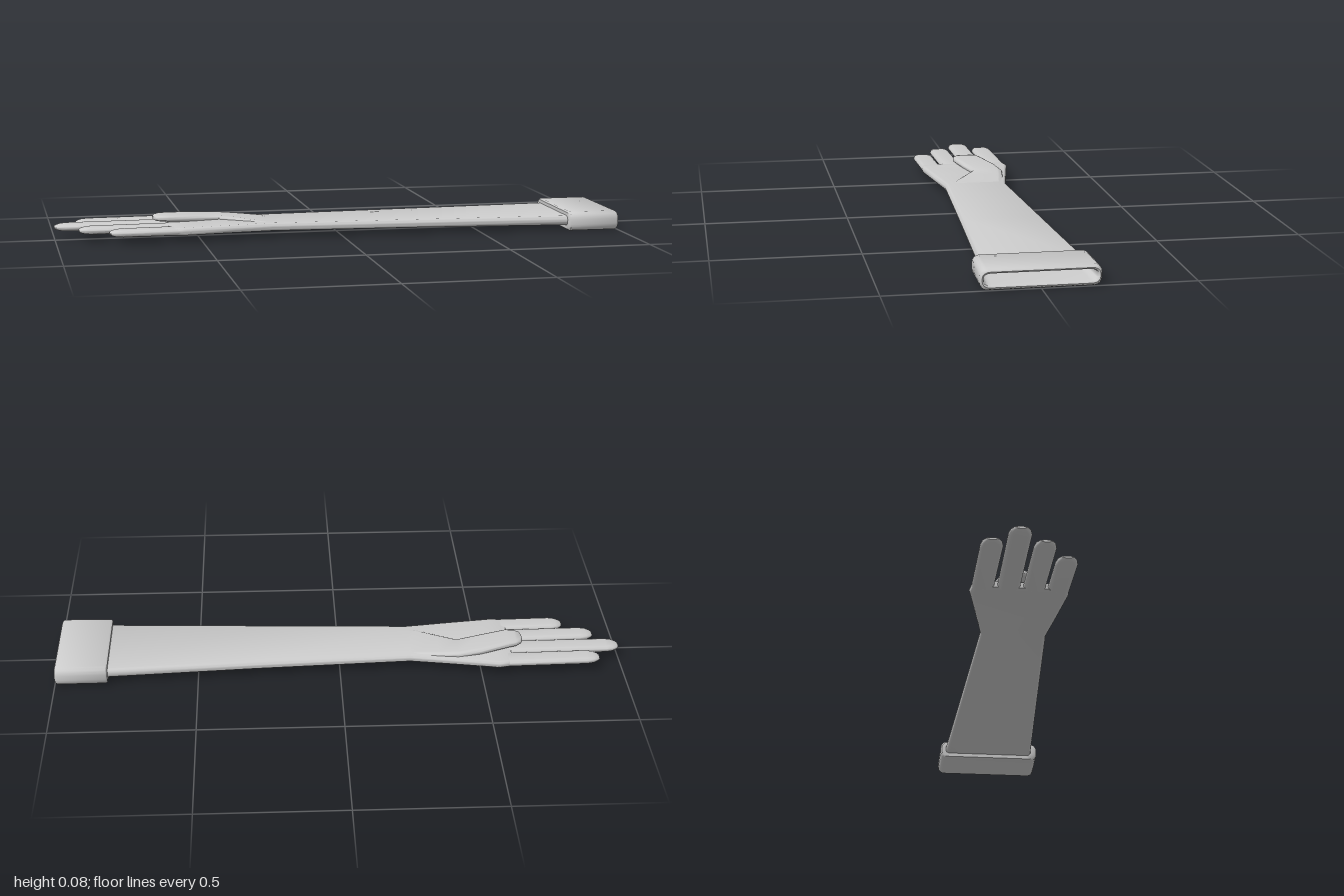
import * as THREE from 'three';
import { toCreasedNormals } from 'three/addons/utils/BufferGeometryUtils.js';

const material = new THREE.MeshStandardMaterial({ color: 0xcccccc, side: THREE.DoubleSide });
const STEPS = 4; // segments per rounded corner

// Rounded rectangle in the yz plane, counter-clockwise seen from +x
function ring([x, z0, z1, y0, y1], corner) {
  const ry = (y1 - y0) / 2 * corner[1];
  const rz = Math.min(corner[0], (z1 - z0) / 2);
  const points = [];
  for (let q = 0; q < 4; q++) {
    const cz = q === 0 || q === 3 ? z0 + rz : z1 - rz;
    const cy = q < 2 ? y1 - ry : y0 + ry;
    for (let s = 0; s <= STEPS; s++) {
      const a = (q + s / STEPS) * Math.PI / 2;
      points.push(x, cy + ry * Math.sin(a), cz - rz * Math.cos(a));
    }
  }
  return points;
}

// Skin over sections [x, z0, z1, y0, y1]; optional cap on the first one
function loft(name, sections, corner, cap = false) {
  const n = 4 * (STEPS + 1);
  const positions = sections.flatMap((s) => ring(s, corner));
  const index = [];
  for (let i = 0; i < sections.length - 1; i++) {
    for (let j = 0; j < n; j++) {
      const a = i * n + j, b = i * n + (j + 1) % n;
      index.push(a, b, a + n, b, b + n, a + n);
    }
  }
  if (cap) {
    const [x, z0, z1, y0, y1] = sections[0];
    const c = positions.length / 3;
    positions.push(x, (y0 + y1) / 2, (z0 + z1) / 2);
    for (let j = 0; j < n; j++) index.push(c, (j + 1) % n, j);
  }
  const geometry = new THREE.BufferGeometry();
  geometry.setAttribute('position', new THREE.Float32BufferAttribute(positions, 3));
  geometry.setIndex(index);
  const mesh = new THREE.Mesh(toCreasedNormals(geometry, 0.8), material);
  mesh.name = name;
  return mesh;
}

// Flat finger with a rounded tip, running from the tip to inside the palm
function finger(name, tip, tipZ, rootZ, width) {
  const root = -0.54, half = width / 2, mid = 0.0385;
  const sections = [[0, 0.42, 0.35], [0.008, 0.66, 0.65], [0.022, 0.87, 0.9], [0.045, 1, 1]].map(([d, w, h]) =>
    [tip + d, tipZ - half * w, tipZ + half * w, mid - 0.012 * h, mid + 0.012 * h]);
  sections.push([root, rootZ - half, rootZ + half, 0.026, 0.051]);
  return loft(name, sections, [0.016, 1], true);
}

export function createModel() {
  const glove = new THREE.Group();
  glove.name = 'longGlove';

  // Hollow sleeve narrowing to the wrist and widening into the palm
  glove.add(loft('sleeveAndPalm', [
    [-0.61, -0.165, 0.14, 0.029, 0.049],
    [-0.595, -0.174, 0.15, 0.026, 0.051],
    [-0.56, -0.179, 0.152, 0.025, 0.052],
    [-0.4, -0.147, 0.131, 0.025, 0.052],
    [-0.25, -0.118, 0.11, 0.024, 0.052],
    [0.3, -0.146, 0.138, 0.023, 0.052],
    [0.83, -0.174, 0.166, 0.018, 0.052],
  ], [0.014, 0.95], true));

  // Four fingers
  const fingers = new THREE.Group();
  fingers.name = 'fingers';
  [
    ['indexFinger', -0.92, -0.13, -0.138, 0.074],
    ['middleFinger', -1, -0.047, -0.052, 0.076],
    ['ringFinger', -0.92, 0.04, 0.032, 0.074],
    ['littleFinger', -0.82, 0.12, 0.113, 0.074],
  ].forEach((f) => fingers.add(finger(...f)));
  glove.add(fingers);

  // Thumb lying across the palm and sinking into it towards the wrist
  glove.add(loft('thumb', [
    [-0.655, -0.05, -0.005, 0.06, 0.07],
    [-0.648, -0.066, 0.012, 0.057, 0.074],
    [-0.63, -0.079, 0.022, 0.055, 0.076],
    [-0.6, -0.087, 0.026, 0.053, 0.076],
    [-0.5, -0.12, 0.001, 0.046, 0.07],
    [-0.42, -0.134, -0.02, 0.042, 0.065],
    [-0.35, -0.125, 0.026, 0.038, 0.06],
    [-0.28, -0.112, 0.076, 0.034, 0.054],
    [-0.22, -0.1, 0.09, 0.032, 0.049],
  ], [0.018, 0.95], true));

  // Thick open cuff: outer skin, rounded rim, then the inner lining
  glove.add(loft('cuff', [
    [0.816, -0.172, 0.166, 0.02, 0.05],
    [0.816, -0.188, 0.183, 0.004, 0.064],
    [0.822, -0.193, 0.189, 0, 0.068],
    [0.99, -0.194, 0.192, 0, 0.068],
    [0.997, -0.191, 0.189, 0.004, 0.064],
    [1, -0.187, 0.185, 0.009, 0.059],
    [0.997, -0.183, 0.181, 0.014, 0.054],
    [0.985, -0.18, 0.178, 0.017, 0.051],
    [0.82, -0.173, 0.165, 0.019, 0.051],
  ], [0.024, 0.75]));

  return glove;
}
